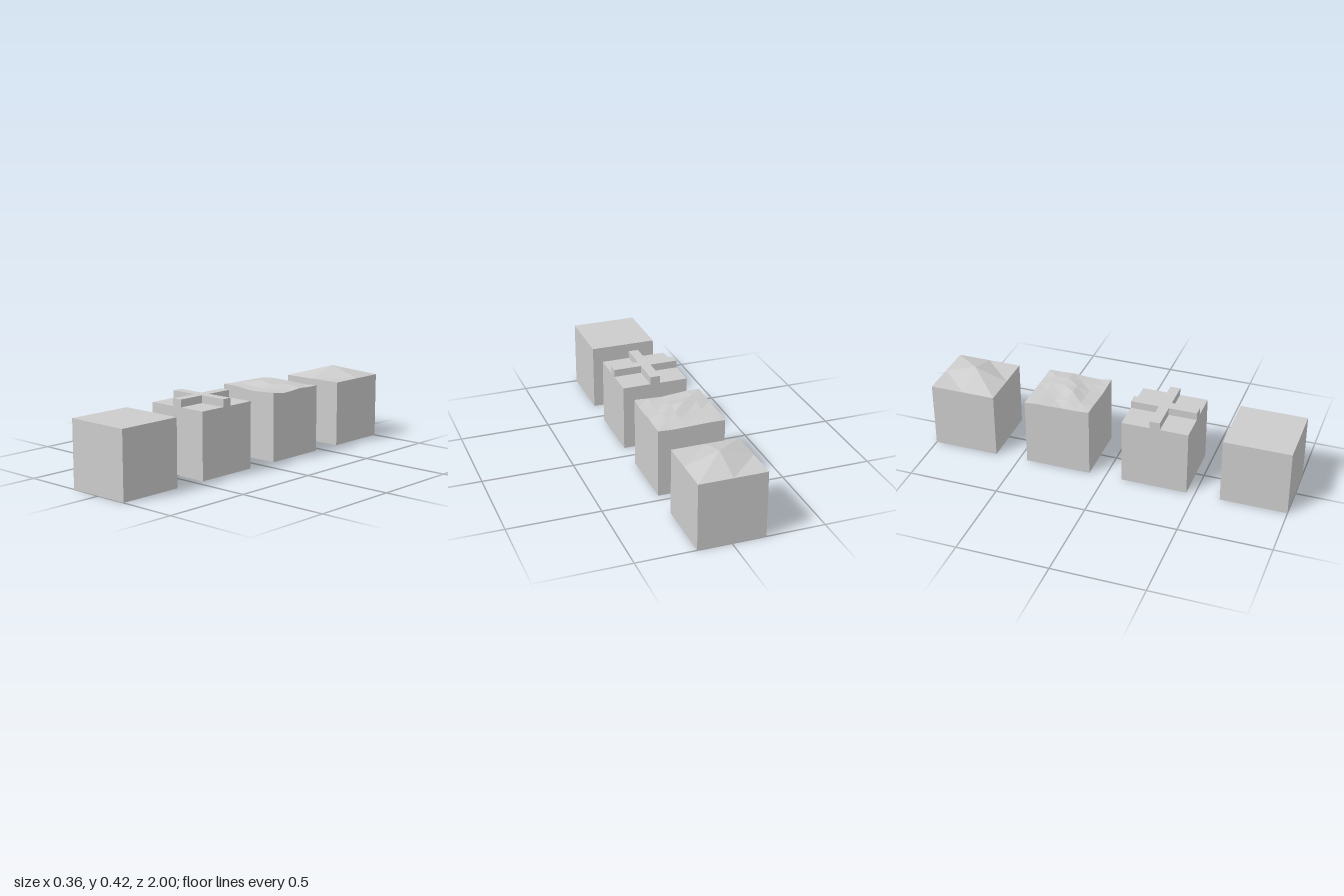
import * as THREE from 'three';

const SIZE = 0.363; // edge of each block
const STEP = 0.5457; // spacing along z
const material = new THREE.MeshStandardMaterial({ color: 0xcccccc, flatShading: true });

// A block whose top is a grid, each point raised by lift(column, row); row 0 is at the back
function block(name, segments = 1, lift = () => 0) {
  const geometry = new THREE.BoxGeometry(SIZE, SIZE, SIZE, segments, 1, segments);
  geometry.translate(0, SIZE / 2, 0);
  const p = geometry.attributes.position;
  const index = (v) => Math.round((v / SIZE + 0.5) * segments);
  for (let i = 0; i < p.count; i++) {
    if (p.getY(i) > SIZE / 2) p.setY(i, SIZE + lift(index(p.getX(i)), index(p.getZ(i))));
  }
  geometry.computeVertexNormals();
  const mesh = new THREE.Mesh(geometry, material);
  mesh.name = name;
  return mesh;
}

// Plain block with a raised cross, made as one outline
function crossBlock() {
  const group = new THREE.Group();
  group.name = 'crossBlock';
  const a = SIZE / 2, b = 0.0275;
  const outline = [
    [b, b], [b, a], [-b, a], [-b, b], [-a, b], [-a, -b],
    [-b, -b], [-b, -a], [b, -a], [b, -b], [a, -b], [a, b],
  ].map(([x, y]) => new THREE.Vector2(x, y));
  const geometry = new THREE.ExtrudeGeometry(new THREE.Shape(outline), { depth: 0.041, bevelEnabled: false });
  geometry.rotateX(-Math.PI / 2);
  const cross = new THREE.Mesh(geometry, material);
  cross.name = 'raisedCross';
  cross.position.y = SIZE;
  group.add(block('crossBase'), cross);
  return group;
}

export function createModel() {
  const model = new THREE.Group();
  model.name = 'blockRow';

  // Heights of the rough top in thousandths, back row first
  const rough = [
    [10, 12, 10, 8, 6, 10],
    [16, 16, 16, 20, 18, 10],
    [16, 14, 16, 26, 26, 14],
    [18, 30, 41, 30, 14, 8],
    [18, 26, 18, 14, 12, 6],
    [22, 22, 16, 10, 14, 17],
  ];

  // From front to back: flat, crossed, rough and peaked
  const blocks = [
    block('flatBlock'),
    crossBlock(),
    block('roughBlock', 5, (c, r) => rough[r][c] / 1000),
    block('peakedBlock', 2, (c, r) => (c === 1 && r === 1 ? 0.056 : 0)),
  ];
  blocks.forEach((b, i) => {
    b.position.z = (1.5 - i) * STEP;
    model.add(b);
  });
  return model;
}
